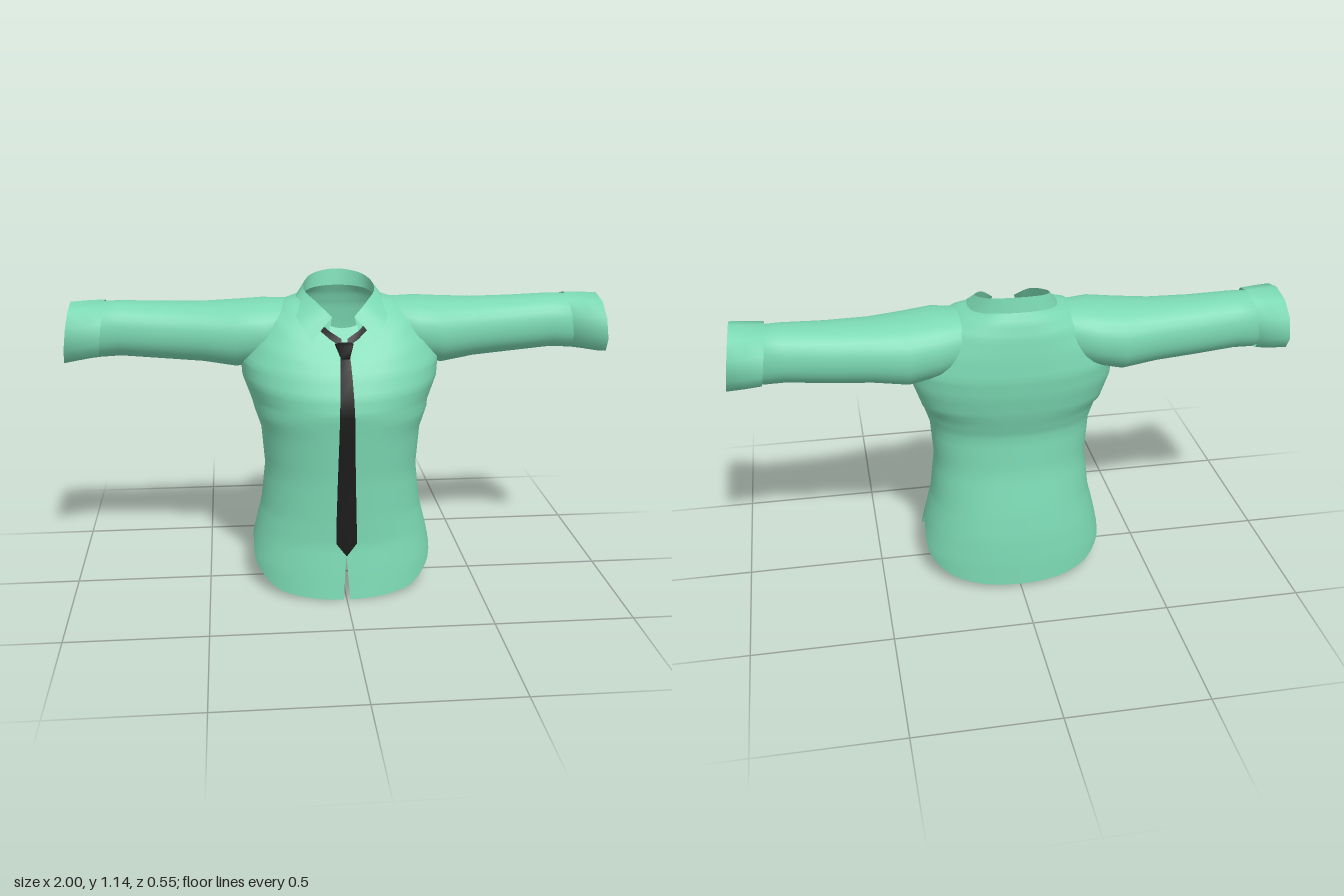
import * as THREE from 'three';
import { mergeVertices } from 'three/addons/utils/BufferGeometryUtils.js';

const lerp = THREE.MathUtils.lerp;

// Piecewise-linear lookup in a table whose first column is the key
function lookup(table, k) {
  let i = 0;
  while (i < table.length - 2 && k > table[i + 1][0]) i++;
  const a = table[i], b = table[i + 1];
  const t = THREE.MathUtils.clamp((k - a[0]) / (b[0] - a[0]), 0, 1);
  return a.map((v, n) => lerp(v, b[n], t));
}

// Skin over rows of points; skip(centre) leaves holes
function skin(rows, skip = () => false) {
  const n = rows[0].length, index = [];
  for (let i = 0; i < rows.length - 1; i++) {
    for (let j = 0; j < n - 1; j++) {
      const q = [rows[i][j], rows[i][j + 1], rows[i + 1][j + 1], rows[i + 1][j]];
      const c = [0, 1, 2].map(k => (q[0][k] + q[1][k] + q[2][k] + q[3][k]) / 4);
      if (skip(c)) continue;
      const a = i * n + j, d = a + n;
      index.push(a, a + 1, d + 1, a, d + 1, d);
    }
  }
  const g = new THREE.BufferGeometry();
  g.setAttribute('position', new THREE.Float32BufferAttribute(rows.flat(2), 3));
  g.setIndex(index);
  const merged = mergeVertices(g, 1e-4);
  merged.computeVertexNormals();
  return merged;
}

// Torso: front height, side height, back height, half width, front z, back z
const TORSO = [
  [0, 0, 0, 0.352, 0.255, -0.272], [0.1, 0.1, 0.1, 0.347, 0.243, -0.268],
  [0.2, 0.2, 0.2, 0.325, 0.23, -0.26], [0.3, 0.3, 0.3, 0.3, 0.232, -0.245],
  [0.45, 0.45, 0.45, 0.283, 0.238, -0.215], [0.6, 0.6, 0.6, 0.295, 0.252, -0.206],
  [0.7, 0.7, 0.7, 0.328, 0.262, -0.235], [0.76, 0.79, 0.78, 0.36, 0.25, -0.25],
  [0.83, 0.86, 0.85, 0.365, 0.22, -0.257], [0.88, 0.94, 0.93, 0.33, 0.19, -0.25],
  [0.92, 1.02, 1.0, 0.27, 0.155, -0.24], [0.955, 1.06, 1.05, 0.2, 0.125, -0.225],
  [0.985, 1.075, 1.09, 0.14, 0.1, -0.205],
];
// Hem height against the cosine of the angle from the front
const HEM = [[-1, 0.01], [-0.7, 0.04], [-0.4, 0.085], [0, 0.185], [0.4, 0.085], [0.75, 0.02], [1, 0]];
// Sleeve: x, top, bottom, front z, back z
const SLEEVE = [
  [0.19, 1.06, 0.86, 0.04, -0.205], [0.28, 1.063, 0.835, 0.075, -0.235],
  [0.38, 1.056, 0.815, 0.06, -0.24], [0.5, 1.05, 0.833, 0.03, -0.225],
  [0.65, 1.052, 0.845, 0.01, -0.215], [0.8, 1.058, 0.858, -0.002, -0.205],
  [0.87, 1.055, 0.855, -0.002, -0.2], [0.91, 1.04, 0.852, -0.02, -0.16],
];

const power = (v, e) => Math.sign(v) * Math.abs(v) ** e;

function torsoPoint(k, angle, side) {
  const s = Math.sin(angle), c = Math.cos(angle);
  if (k < 0.3) k = lerp(lookup(HEM, c)[1], 0.3, k / 0.3);
  const [yF, yS, yB, hw, zF, zB] = lookup(TORSO, k);
  const y = yS + ((c > 0 ? yF : yB) - yS) * c * c;
  const zc = k < 0.7 ? -0.02 : -0.06;
  const slit = side * Math.max(0, 0.012 * (1 - y / 0.17));
  return [hw * power(s, 0.88) + slit, y, zc + ((c > 0 ? zF : zB) - zc) * (c > 0 ? 1 : -1) * power(c, 0.88)];
}

function torsoGeometry() {
  const rows = [], N = 64;
  for (let r = 0; r < TORSO.length - 1; r++) {
    for (let s = 0; s < 4; s++) rows.push(lerp(TORSO[r][0], TORSO[r + 1][0], s / 4));
  }
  rows.push(0.985);
  // Armholes are left open where the sleeves join
  const inArmhole = ([x, y, z]) => {
    if (Math.abs(x) < 0.2) return false;
    const [, t, b, f, k] = lookup(SLEEVE, Math.abs(x));
    return ((2 * y - t - b) / (t - b)) ** 2 + ((2 * z - f - k) / (f - k)) ** 2 < 0.8;
  };
  return skin(rows.map(k => Array.from({ length: N + 1 }, (_, j) =>
    torsoPoint(k, j / N * Math.PI * 2, j === 0 ? 1 : j === N ? -1 : 0))), inArmhole);
}

// Tube of oval sections along x; slant leans the sections outward at the bottom
function armTube(sections, sign, sides, slant = 0) {
  return skin(sections.map(([x, t, b, f, k]) => Array.from({ length: sides + 1 }, (_, j) => {
    const a = sign * j / sides * Math.PI * 2;
    const y = (t + b) / 2 + (t - b) / 2 * power(Math.cos(a), 0.9);
    return [sign * (x + slant * (0.95 - y)), y, (f + k) / 2 + (f - k) / 2 * power(Math.sin(a), 0.9)];
  })));
}

// Mirror a half edge running from the front to the back centre, and smooth it
function collarEdge(half) {
  const full = [...half, ...half.slice(0, -1).reverse().map(([x, y, z]) => [-x, y, z])];
  return new THREE.CatmullRomCurve3(full.map(p => new THREE.Vector3(...p)))
    .getPoints(32).map(p => p.toArray());
}

export function createModel() {
  const model = new THREE.Group();
  model.name = 'shirtWithTie';
  const cloth = new THREE.MeshStandardMaterial({ color: 0x7bd8b3, side: THREE.DoubleSide });
  cloth.name = 'greenCloth';
  const black = new THREE.MeshStandardMaterial({ color: 0x1c1c1c, side: THREE.DoubleSide });
  black.name = 'blackCloth';
  const add = (name, geometry, material) => {
    const mesh = new THREE.Mesh(geometry, material);
    mesh.name = name;
    model.add(mesh);
  };

  add('torso', torsoGeometry(), cloth);

  // Sleeves and cuffs
  const cuff = [[0.865, 1.064, 0.852, 0.015, -0.218], [0.92, 1.064, 0.845, 0.032, -0.22],
    [0.985, 1.062, 0.836, 0.05, -0.212]];
  for (const [side, sign] of [['left', 1], ['right', -1]]) {
    add(side + 'Sleeve', armTube(SLEEVE, sign, 28), cloth);
    add(side + 'Cuff', armTube(cuff, sign, 10, 0.13), cloth);
  }

  // Collar: folded outer fall with points, and inner stand
  const top = collarEdge([[0.04, 1.025, 0.1], [0.085, 1.065, 0.055], [0.13, 1.1, -0.06],
    [0.095, 1.132, -0.175], [0, 1.145, -0.215]]);
  const fall = collarEdge([[0.118, 0.945, 0.15], [0.158, 1.01, 0.085], [0.172, 1.052, -0.03],
    [0.12, 1.08, -0.175], [0, 1.092, -0.222]]);
  const stand = collarEdge([[0.055, 0.968, 0.135], [0.1, 1.02, 0.06], [0.135, 1.062, -0.06],
    [0.1, 1.08, -0.165], [0, 1.085, -0.205]]);
  add('collarFall', skin([fall, top]), cloth);
  add('collarStand', skin([top, stand]), cloth);

  // Tie blade hangs along the chest: height, half width
  const blade = [[0.17, 0.002], [0.215, 0.037], [0.3, 0.036], [0.45, 0.032], [0.6, 0.028],
    [0.7, 0.026], [0.76, 0.024], [0.83, 0.021], [0.88, 0.018], [0.905, 0.016]];
  add('tieBlade', skin(blade.map(([y, w]) => {
    const z = lookup(TORSO, y)[4];
    return [[-w, y, z], [-w, y, z + 0.012], [w, y, z + 0.012], [w, y, z], [-w, y, z]];
  })).toNonIndexed(), black);

  // Knot
  const knot = [[0.893, 0.016, 0.186], [0.9, 0.02, 0.19], [0.935, 0.033, 0.168], [0.945, 0.028, 0.15]];
  add('tieKnot', skin(knot.map(([y, w, z]) =>
    [[-w, y, z - 0.025], [-w * 0.8, y, z + 0.008], [w * 0.8, y, z + 0.008], [w, y, z - 0.025], [-w, y, z - 0.025]])), black);

  // Neck bands running under the collar
  const band = [[0.01, 0.943, 0.155], [0.05, 0.967, 0.14], [0.1, 1.005, 0.095]];
  for (const [side, sign] of [['left', 1], ['right', -1]]) {
    const edge = d => band.map(([x, y, z]) => [sign * x, y + d, z - d * 0.5]);
    add(side + 'TieBand', skin(sign > 0 ? [edge(-0.013), edge(0.013)] : [edge(0.013), edge(-0.013)]), black);
  }
  return model;
}
